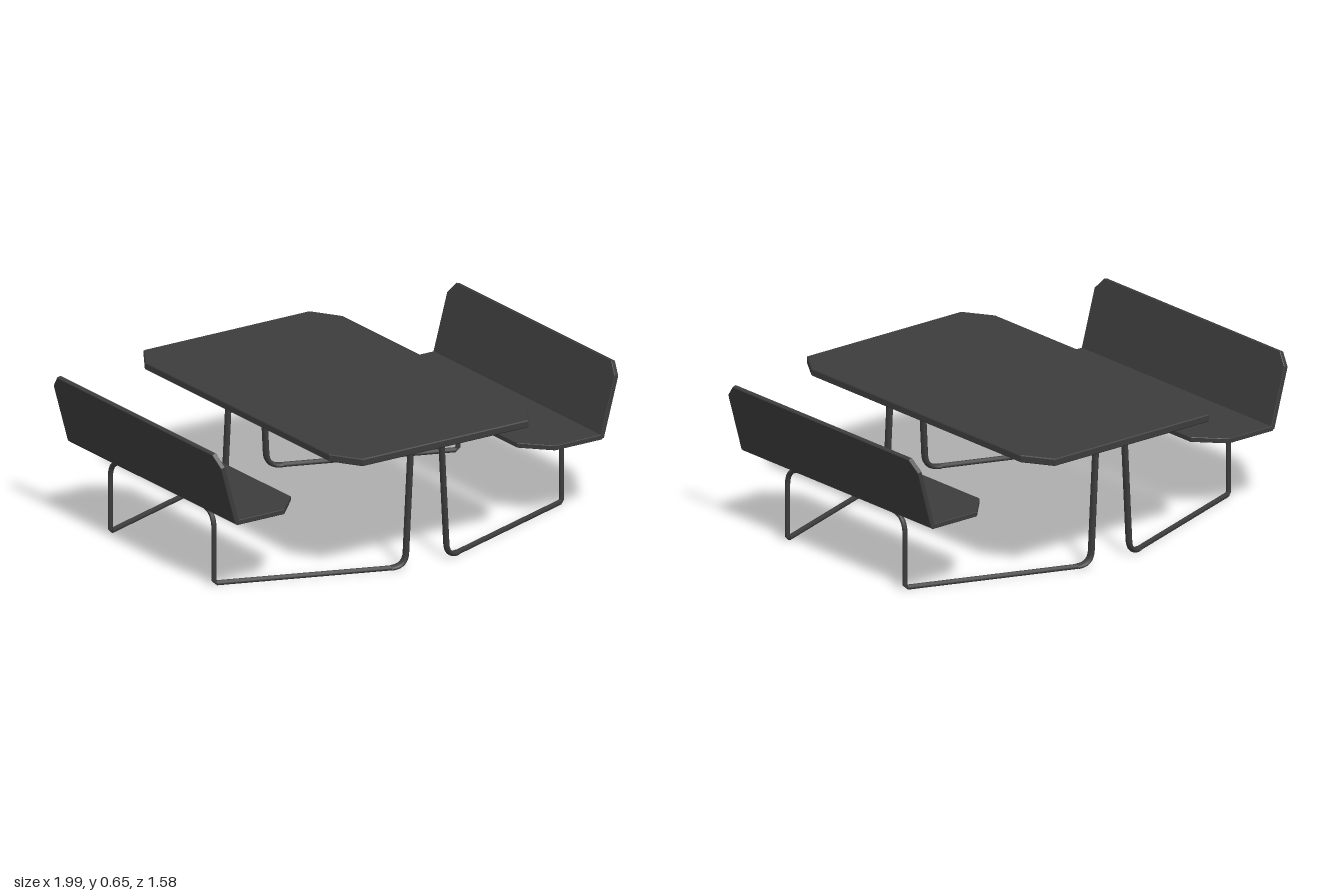
import * as THREE from 'three';

const material = new THREE.MeshStandardMaterial({ color: 0x3c3c3c });
const V = (x, y, z) => new THREE.Vector3(x, y, z);

function part(name, geometry) {
  const mesh = new THREE.Mesh(geometry, material);
  mesh.name = name;
  return mesh;
}

// Flat board from an outline of [x, z] corners, its top face at y = top
function board(name, corners, thickness, top, bevel = 0) {
  const shape = new THREE.Shape(corners.map(([x, z]) => new THREE.Vector2(x, z)));
  const geometry = new THREE.ExtrudeGeometry(shape, {
    depth: thickness - 2 * bevel, bevelEnabled: bevel > 0, bevelThickness: bevel,
    bevelSize: bevel, bevelOffset: -bevel, bevelSegments: 1,
  });
  geometry.rotateX(Math.PI / 2).translate(0, top - bevel, 0);
  return part(name, geometry);
}

// Rectangle with all four corners cut off
const octagon = (w, l, cx, cz) => [
  [w, l - cz], [w - cx, l], [cx - w, l], [-w, l - cz],
  [-w, cz - l], [cx - w, -l], [w - cx, -l], [w, cz - l],
];

// Straight runs joined by rounded bends; radii holds one bend per inner point
function bentPath(points, radii) {
  const path = new THREE.CurvePath();
  let from = points[0];
  for (let i = 1; i < points.length - 1; i++) {
    const p = points[i], r = radii[i - 1];
    const a = p.clone().add(points[i - 1].clone().sub(p).setLength(r));
    const b = p.clone().add(points[i + 1].clone().sub(p).setLength(r));
    path.add(new THREE.LineCurve3(from, a));
    path.add(new THREE.QuadraticBezierCurve3(a, p, b));
    from = b;
  }
  path.add(new THREE.LineCurve3(from, points[points.length - 1]));
  return path;
}

const tube = (name, points, radii) =>
  part(name, new THREE.TubeGeometry(bentPath(points, radii), 160, 0.011, 10));

// One bench: seat, sloping backrest and mounting plate, on the +x side
function createBench() {
  const bench = new THREE.Group();
  bench.name = 'bench';
  bench.add(board('seat', [
    [0.905, 0.605], [0.67, 0.605], [0.56, 0.49],
    [0.56, -0.49], [0.67, -0.605], [0.905, -0.605],
  ], 0.021, 0.366, 0.002));

  const backrest = board('backrest', [
    [0, 0.605], [0.265, 0.605], [0.317, 0.56],
    [0.317, -0.56], [0.265, -0.605], [0, -0.605],
  ], 0.02, 0, 0.002);
  backrest.rotation.z = Math.atan2(0.305, 0.085);
  backrest.position.set(0.893, 0.355, 0);
  bench.add(backrest);

  const plate = part('seatPlate', new THREE.BoxGeometry(0.25, 0.012, 0.66));
  plate.position.set(0.745, 0.341, 0);
  bench.add(plate);

  // Seat support: foot, upright, rail under the seat, upright, foot
  bench.add(tube('seatSupport', [
    V(0.16, 0.016, 0.635), V(0.86, 0.016, 0.374), V(0.86, 0.332, 0.374),
    V(0.86, 0.332, -0.374), V(0.86, 0.016, -0.374), V(0.16, 0.016, -0.635),
  ], [0.012, 0.085, 0.085, 0.012]));
  return bench;
}

// Flattened tube hoop carrying one end of the table, its feet turning outward
function createHoop() {
  const flat = 1.6, dz = -0.017 / flat;
  const hoop = tube('tableLegs', [
    V(-0.165, 0.016, dz), V(-0.103, 0.016, 0), V(-0.075, 0.541, 0),
    V(0.075, 0.541, 0), V(0.103, 0.016, 0), V(0.165, 0.016, dz),
  ], [0.06, 0.022, 0.022, 0.06]);
  hoop.scale.z = flat;
  hoop.position.z = 0.65;
  return hoop;
}

export function createModel() {
  const model = new THREE.Group();
  model.name = 'picnicTable';
  model.add(board('tableTop', octagon(0.49, 0.79, 0.08, 0.125), 0.032, 0.586, 0.004));
  model.add(board('tablePlate', octagon(0.215, 0.665, 0.12, 0.12), 0.012, 0.556));

  // Two matching halves, each with a bench and a table hoop
  for (const turn of [0, Math.PI]) {
    const half = new THREE.Group();
    half.name = turn ? 'rightHalf' : 'leftHalf';
    half.add(createBench(), createHoop());
    half.rotation.y = turn;
    model.add(half);
  }
  return model;
}
